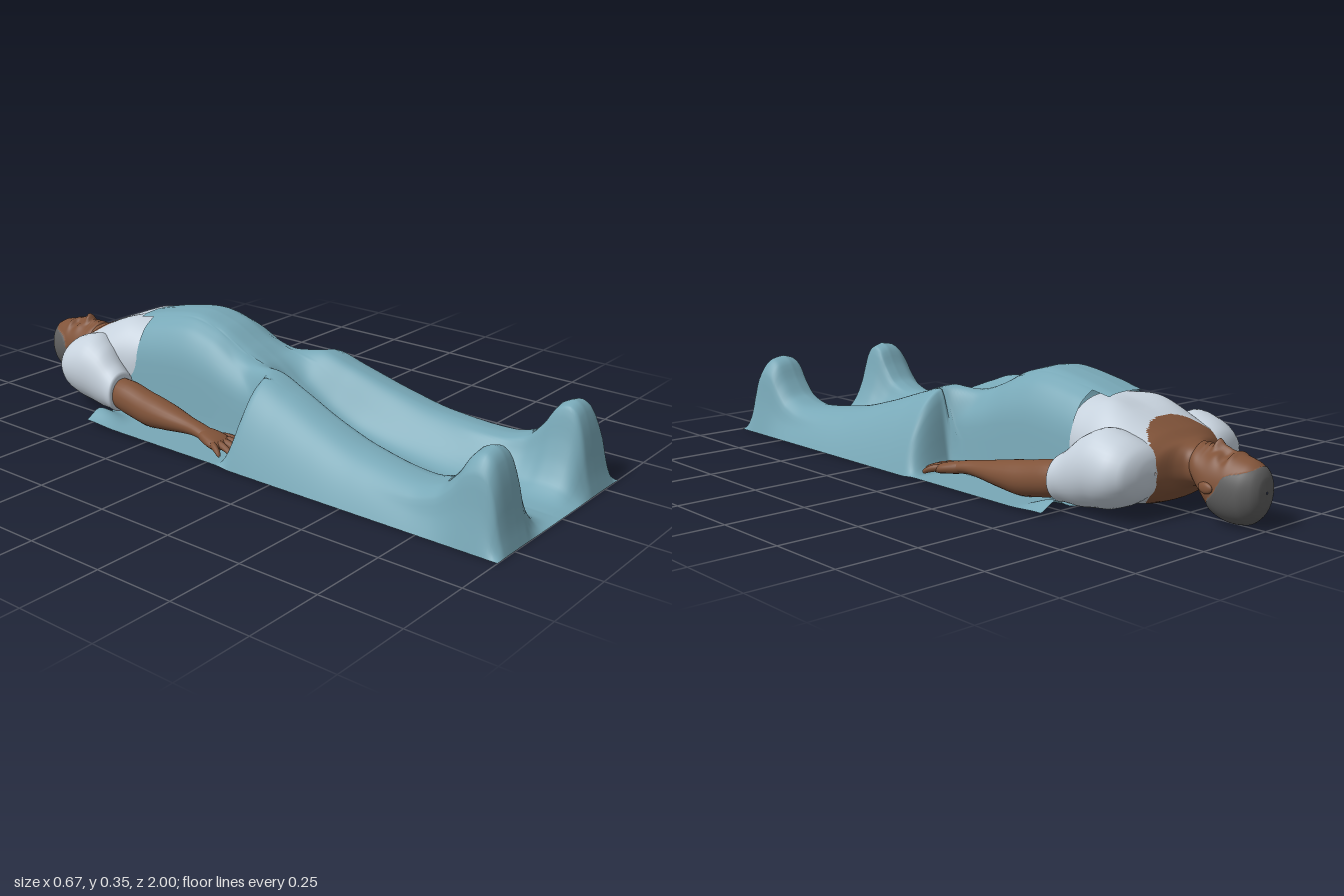
import * as THREE from 'three';

const cloth = new THREE.MeshStandardMaterial({ color: 0x78a8b7, side: THREE.DoubleSide });
cloth.name = 'blanket blue';
const white = new THREE.MeshStandardMaterial({ color: 0xc6d1dc });
white.name = 'shirt white';
const skin = new THREE.MeshStandardMaterial({ color: 0x805339 });
skin.name = 'skin brown';
const grey = new THREE.MeshStandardMaterial({ color: 0x5e5e5e });
grey.name = 'hair grey';

const gauss = (d, s) => Math.exp(-(d * d) / (2 * s * s));
const smooth = THREE.MathUtils.smoothstep;
const lerp = THREE.MathUtils.lerp;

// Smooth interpolation of table rows [t, a, b, ...]
function sample(rows, t) {
  const n = rows.length - 1;
  let i = 0;
  while (i < n - 1 && t > rows[i + 1][0]) i++;
  const p = rows[i], q = rows[i + 1], h = q[0] - p[0];
  const u = Math.min(1, Math.max(0, (t - p[0]) / h));
  const slope = (k, c) => {
    if (k === 0 || k === n) return (q[c] - p[c]) / h;
    const l = (rows[k][c] - rows[k - 1][c]) / (rows[k][0] - rows[k - 1][0]);
    const r = (rows[k + 1][c] - rows[k][c]) / (rows[k + 1][0] - rows[k][0]);
    return l * r <= 0 ? 0 : (2 * l * r) / (l + r);
  };
  return p.slice(1).map((v, j) => {
    const c = j + 1, u2 = u * u, u3 = u2 * u;
    return (2 * u3 - 3 * u2 + 1) * v + (u3 - 2 * u2 + u) * h * slope(i, c)
      + (3 * u2 - 2 * u3) * q[c] + (u3 - u2) * h * slope(i + 1, c);
  });
}

// Closed body along z from rows [z, cx, cy, rx, ry]; pick() sorts faces into materials
function loft(name, rows, materials, { steps = 24, seg = 20, power = 2, side = 1, warp, pick = () => 0 } = {}) {
  const pos = [], faces = materials.map(() => []);
  const z0 = rows[0][0], z1 = rows[rows.length - 1][0];
  for (let i = 0; i <= steps; i++) {
    const z = z0 + (z1 - z0) * (1 - Math.cos(Math.PI * i / steps)) / 2;
    const [cx, cy, rx, ry] = sample(rows, z);
    for (let j = 0; j < seg; j++) {
      const a = j / seg * Math.PI * 2, c = Math.cos(a), s = Math.sin(a);
      const v = new THREE.Vector3(cx * side + rx * Math.sign(c) * Math.abs(c) ** (2 / power),
        cy + ry * Math.sign(s) * Math.abs(s) ** (2 / power), z);
      if (warp) warp(v, s);
      pos.push(v.x, v.y, v.z);
    }
  }
  const add = (...t) => {
    const m = [0, 1, 2].map(k => t.reduce((sum, id) => sum + pos[id * 3 + k], 0) / 3);
    faces[pick(...m)].push(...t);
  };
  for (let i = 0; i < steps; i++) for (let j = 0; j < seg; j++) {
    const a = i * seg + j, b = i * seg + (j + 1) % seg;
    add(a, b, a + seg);
    add(b, b + seg, a + seg);
  }
  const g = new THREE.BufferGeometry();
  g.setAttribute('position', new THREE.Float32BufferAttribute(pos, 3));
  g.setIndex(faces.flat());
  let start = 0;
  faces.forEach((f, k) => { g.addGroup(start, f.length, k); start += f.length; });
  g.computeVertexNormals();
  const mesh = new THREE.Mesh(g, materials.length > 1 ? materials : materials[0]);
  mesh.name = name;
  return mesh;
}

// Blanket along z: ridge height, height between the legs, leg centre
const ridge = [[-0.51, 0.308], [-0.4, 0.335], [-0.27, 0.353], [-0.17, 0.332], [-0.06, 0.28], [0, 0.262], [0.09, 0.26],
  [0.2, 0.228], [0.35, 0.178], [0.5, 0.14], [0.7, 0.12], [0.78, 0.14], [0.83, 0.19], [0.87, 0.25], [0.905, 0.264],
  [0.93, 0.25], [0.955, 0.19], [0.98, 0.07], [1, 0.006]];
const valley = [[-0.51, 0.31], [-0.12, 0.29], [0, 0.235], [0.1, 0.18], [0.2, 0.12], [0.3, 0.075], [0.45, 0.04], [0.65, 0.015], [1, 0.005]];
const legX = [[-0.51, 0.12], [0.08, 0.12], [0.4, 0.16], [0.8, 0.21], [1, 0.217]];
// Blanket across x: relative height over the belly, and outside and inside each foot
const belly = [[0, 1], [0.05, 0.99], [0.08, 0.96], [0.1, 0.925], [0.12, 0.88], [0.145, 0.77], [0.165, 0.6], [0.178, 0.25], [0.188, 0]];
const footOut = [[0, 1], [0.34, 0.97], [0.66, 0.79], [0.79, 0.43], [1, 0]];
const footIn = [[0, 1], [0.17, 0.95], [0.285, 0.6], [0.4, 0.34], [0.56, 0.13], [0.81, 0.02], [1, 0]];

function blanketHeight(x, z) {
  const a = Math.abs(x), half = 0.335;
  const [H] = sample(ridge, z), [V] = sample(valley, z), [c] = sample(legX, z);
  const flat = 0.01 + 0.03 * gauss(a - 0.28, 0.03) * smooth(-z, 0.38, 0.5);
  const torso = Math.max(flat, H * sample(belly, a)[0]);
  const foot = smooth(z, 0.55, 0.85), low = a > c ? 0.005 : Math.min(V, H);
  const u = a > c ? Math.min(1, (a - c) / (half - c)) : (c - a) / c;
  const shape = a > c
    ? lerp(1 - u ** 2.6, sample(footOut, u)[0], foot)
    : lerp(1 - smooth(u, 0, 0.9), sample(footIn, u)[0], foot);
  // the lap blends gradually in the middle, the cloth folds sharply beside the hands
  return lerp(torso, low + (H - low) * shape, smooth(z, -0.12 + 0.155 * smooth(a, 0.09, 0.17), 0.1));
}

function makeBlanket() {
  const g = new THREE.PlaneGeometry(0.67, 1, 120, 150);
  g.rotateX(-Math.PI / 2);
  const p = g.attributes.position;
  for (let i = 0; i < p.count; i++) {
    const x = p.getX(i), a = Math.abs(x);
    // notched upper edge with a centre tab
    const top = a > 0.075 && a < 0.17 ? -0.45 : -0.51;
    const z = top + (1 - top) * (p.getZ(i) + 0.5);
    p.setXYZ(i, x, blanketHeight(x, z), z);
  }
  g.computeVertexNormals();
  const mesh = new THREE.Mesh(g, cloth);
  mesh.name = 'blanket';
  return mesh;
}

// Chest with a scooped neckline, running into the neck
function makeTorso() {
  const rows = [[-0.84, 0, 0.125, 0.05, 0.048], [-0.78, 0, 0.145, 0.06, 0.058], [-0.757, 0, 0.143, 0.085, 0.065],
    [-0.738, 0, 0.138, 0.14, 0.075], [-0.7, 0, 0.133, 0.19, 0.1], [-0.6, 0, 0.141, 0.2, 0.132],
    [-0.5, 0, 0.152, 0.18, 0.144], [-0.44, 0, 0.155, 0.165, 0.142], [-0.41, 0, 0.155, 0.13, 0.11], [-0.4, 0, 0.155, 0.004, 0.004]];
  return loft('chest and shirt', rows, [white, skin], {
    steps: 120, seg: 140, power: 2.3,
    warp: (v, s) => { if (s > 0) v.y += 0.018 * s * gauss(Math.abs(v.x) - 0.11, 0.045) * gauss(v.z + 0.55, 0.05); },
    pick: (x, y, z) => (z < -0.757 || (x / 0.138) ** 2 + ((z + 0.75) / 0.108) ** 2 < 1 ? 1 : 0),
  });
}

function makeHead() {
  const head = new THREE.Group();
  head.name = 'head';
  const hairline = [[-1, 0.3], [-0.992, 0.2], [-0.975, 0.168], [-0.91, 0.145], [-0.885, 0.1], [-0.86, 0.075], [-0.83, 0.02], [-0.77, 0]];
  const isHair = (x, y, z) => y < sample(hairline, z)[0];
  const rows = [[-1, 0, 0.108, 0.003, 0.003], [-0.996, 0, 0.108, 0.03, 0.04], [-0.98, 0, 0.105, 0.052, 0.069],
    [-0.95, 0, 0.102, 0.068, 0.087], [-0.9, 0, 0.105, 0.075, 0.094], [-0.86, 0, 0.11, 0.076, 0.088], [-0.82, 0, 0.132, 0.071, 0.066],
    [-0.79, 0, 0.152, 0.06, 0.052], [-0.777, 0, 0.158, 0.04, 0.034], [-0.772, 0, 0.16, 0.004, 0.004]];
  // [x, z, widthX, widthZ, height] of bumps and hollows on the face
  const features = [[0, -0.843, 0.012, 0.01, 0.025], [0, -0.868, 0.008, 0.018, 0.012], [0.016, -0.84, 0.006, 0.006, 0.01],
    [0.029, -0.885, 0.014, 0.009, -0.014], [0.03, -0.885, 0.008, 0.005, 0.008], [0.028, -0.905, 0.016, 0.006, 0.006],
    [0, -0.82, 0.018, 0.004, 0.011], [0, -0.808, 0.016, 0.004, 0.011], [0, -0.786, 0.016, 0.008, 0.008], [0.042, -0.86, 0.014, 0.012, 0.005]];
  head.add(loft('face and hair', rows, [skin, grey], {
    steps: 90, seg: 110,
    warp: (v, s) => {
      if (isHair(v.x, v.y, v.z)) { v.x *= 1.04; v.y = 0.1 + (v.y - 0.1) * 1.03; }
      else if (s > 0) {
        let d = 0;
        for (const [fx, fz, wx, wz, h] of features) d += h * gauss(Math.abs(v.x) - fx, wx) * gauss(v.z - fz, wz);
        v.y += d * smooth(s, 0.1, 0.6);
      }
    },
    pick: (x, y, z) => (isHair(x, y, z) ? 1 : 0),
  }));
  for (const side of [1, -1]) {
    const ear = new THREE.Mesh(new THREE.SphereGeometry(1, 16, 12), skin);
    ear.name = side > 0 ? 'leftEar' : 'rightEar';
    ear.scale.set(0.009, 0.016, 0.026);
    ear.position.set(side * 0.076, 0.108, -0.858);
    ear.rotation.y = side * -0.15;
    head.add(ear);
  }
  return head;
}

function makeArm(side) {
  const arm = new THREE.Group();
  arm.name = side > 0 ? 'leftArm' : 'rightArm';
  const part = (name, rows, mat, opts) => arm.add(loft(name, rows, [mat], { side, ...opts }));
  part('sleeve', [[-0.742, 0.14, 0.135, 0.004, 0.004], [-0.736, 0.146, 0.135, 0.055, 0.04], [-0.715, 0.16, 0.134, 0.092, 0.072],
    [-0.67, 0.173, 0.133, 0.104, 0.097], [-0.61, 0.18, 0.133, 0.1, 0.112], [-0.55, 0.195, 0.118, 0.081, 0.102],
    [-0.5, 0.211, 0.098, 0.063, 0.077], [-0.465, 0.219, 0.088, 0.055, 0.062], [-0.462, 0.219, 0.088, 0.03, 0.03]],
  white, { steps: 36, seg: 36 });
  part('forearm', [[-0.5, 0.218, 0.088, 0.04, 0.045], [-0.42, 0.219, 0.076, 0.05, 0.055], [-0.32, 0.224, 0.06, 0.05, 0.052],
    [-0.25, 0.228, 0.058, 0.046, 0.042], [-0.12, 0.24, 0.055, 0.028, 0.022], [-0.07, 0.244, 0.048, 0.029, 0.019]],
  skin, { steps: 28, seg: 24 });
  part('palm', [[-0.1, 0.241, 0.05, 0.02, 0.014], [-0.07, 0.244, 0.047, 0.034, 0.019], [-0.025, 0.248, 0.04, 0.043, 0.018],
    [0, 0.25, 0.035, 0.039, 0.013], [0.008, 0.25, 0.034, 0.02, 0.006]], skin, { steps: 16, seg: 20, power: 2.4 });
  // [root x, root z, tip x, tip z] for thumb and fingers
  const digits = [[0.218, -0.065, 0.175, 0.02], [0.222, -0.02, 0.213, 0.05], [0.24, -0.02, 0.242, 0.06],
    [0.26, -0.02, 0.273, 0.055], [0.277, -0.025, 0.303, 0.032]];
  digits.forEach(([x0, za, x1, zb], k) => {
    const at = (t, r) => [za + (zb - za) * t, x0 + (x1 - x0) * t, 0.042 - 0.018 * t * t, r, r];
    part(k ? 'finger' : 'thumb', [at(0, 0.008), at(0.3, 0.0115), at(0.6, 0.0105), at(0.9, 0.008), at(1, 0.002)],
      skin, { steps: 12, seg: 12 });
  });
  return arm;
}

export function createModel() {
  const model = new THREE.Group();
  model.name = 'reclining patient under blanket';
  model.add(makeBlanket(), makeTorso(), makeHead(), makeArm(1), makeArm(-1));
  return model;
}
